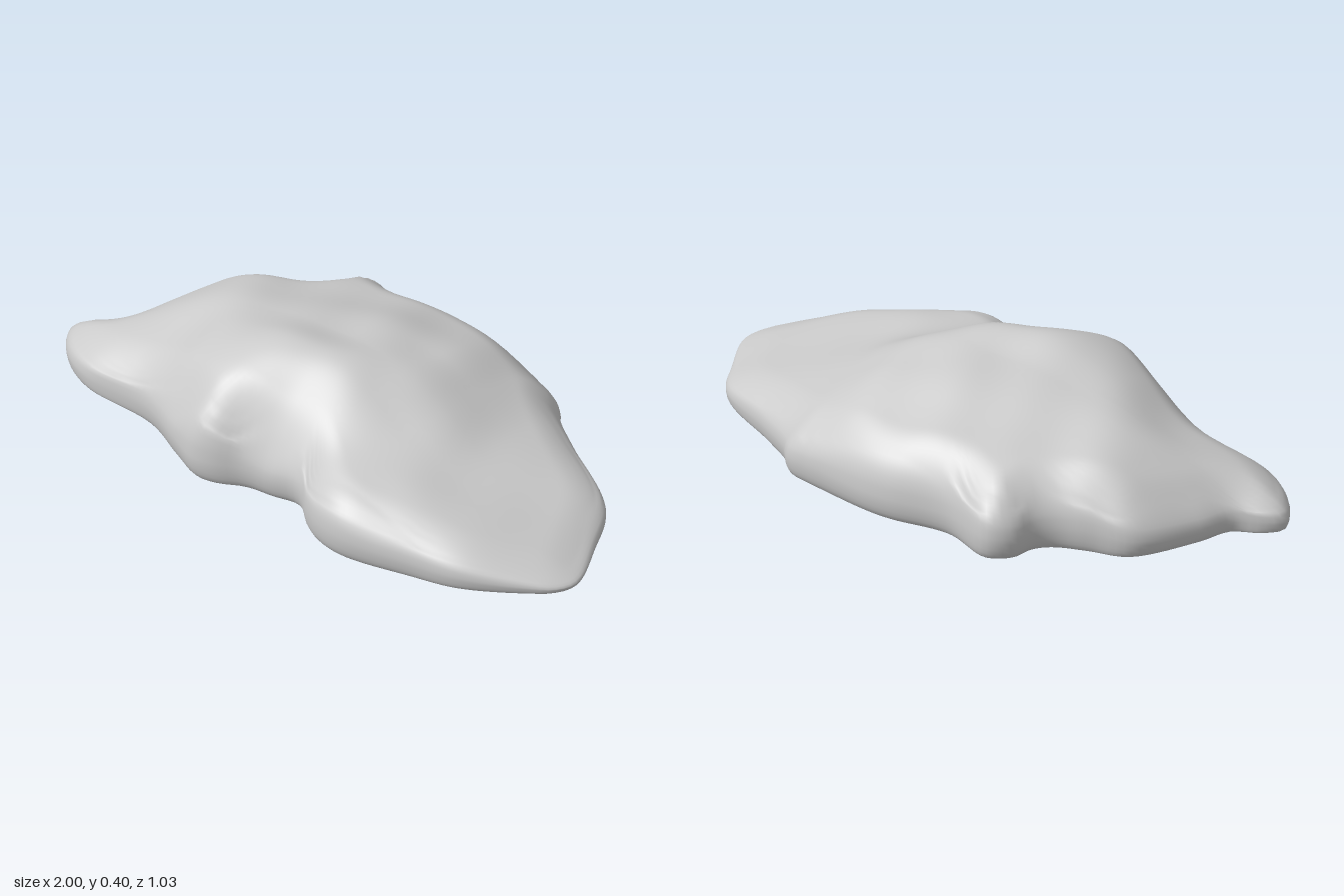
import * as THREE from 'three';

// Plan outline [x, z], running from the +x tip along the front and round the back
const OUTLINE = [
  [1, .15], [.98, .22], [.92, .28], [.75, .4], [.6, .45], [.37, .51], [.26, .495], [.19, .46], [.1, .395], [0, .41],
  [-.1, .43], [-.18, .47], [-.25, .48], [-.35, .44], [-.55, .35], [-.8, .33], [-.91, .28], [-.98, .21], [-1, .16],
  [-.96, .11], [-.88, .06], [-.84, -.05], [-.73, -.25], [-.61, -.3], [-.51, -.345], [-.465, -.395], [-.445, -.47],
  [-.38, -.52], [-.2, -.47], [0, -.5], [.1, -.5], [.35, -.46], [.42, -.44], [.47, -.39], [.6, -.31], [.83, -.18],
  [.92, -.03]
];

// Heights on a coarse grid: one row per x station, one column per z station
const XS = [-1, -.8, -.6, -.4, -.2, 0, .2, .35, .5, .75, 1];
const ZS = [-.45, -.3, -.15, 0, .15, .3, .42];
const HEIGHTS = [
  [.05, .05, .05, .07, .09, .08, .06],
  [.1, .11, .13, .145, .155, .135, .11],
  [.15, .195, .25, .26, .22, .17, .12],
  [.2, .25, .29, .315, .32, .27, .19],
  [.24, .285, .325, .36, .39, .35, .28],
  [.25, .3, .345, .37, .385, .29, .16],
  [.225, .28, .33, .355, .31, .24, .19],
  [.185, .225, .255, .265, .24, .22, .2],
  [.135, .16, .18, .185, .185, .185, .165],
  [.09, .1, .105, .11, .115, .115, .11],
  [.03, .03, .03, .03, .03, .03, .03]
];

// Smooth curve through values given at uneven stations
function interpolate(stations, values, t) {
  const last = stations.length - 1;
  const s = THREE.MathUtils.clamp(t, stations[0], stations[last]);
  let i = 0;
  while (i < last - 1 && s > stations[i + 1]) i++;
  const slope = k => {
    const a = Math.max(k - 1, 0), b = Math.min(k + 1, last);
    return (values[b] - values[a]) / (stations[b] - stations[a]);
  };
  const w = stations[i + 1] - stations[i], u = (s - stations[i]) / w;
  const u2 = u * u, u3 = u2 * u;
  return (2 * u3 - 3 * u2 + 1) * values[i] + (u3 - 2 * u2 + u) * w * slope(i)
    + (3 * u2 - 2 * u3) * values[i + 1] + (u3 - u2) * w * slope(i + 1);
}

// Broad form plus shallow weathering
function envelope(x, z) {
  const h = interpolate(XS, HEIGHTS.map(row => interpolate(ZS, row, z)), x);
  const ripple = Math.sin(11 * x + 5 * z) * Math.sin(13 * z - 4 * x) + .5 * Math.sin(23 * x - 9 * z);
  return h * (1 + .02 * ripple);
}

function createModel() {
  const group = new THREE.Group();
  group.name = 'rock';
  const material = new THREE.MeshStandardMaterial({ color: 0xcccccc });
  const SEG = 200, RINGS = 36, TUCK = 6;

  const curve = new THREE.CatmullRomCurve3(OUTLINE.map(([x, z]) => new THREE.Vector3(x, 0, z)), true);
  const rim = curve.getSpacedPoints(SEG).slice(0, SEG);
  const edgeDistance = (x, z) => Math.sqrt(rim.reduce((m, p) => Math.min(m, (p.x - x) ** 2 + (p.z - z) ** 2), 9));
  const bulge = rim.map(p => Math.min(.08, .4 * envelope(p.x, p.z)));

  // Upper surface: rings shrink from the bulging rim to the middle, rounded over near the edge
  const positions = [0, envelope(0, 0), 0], index = [];
  for (let r = 1; r <= RINGS; r++) {
    const t = 1 - (1 - r / RINGS) ** 1.5;
    rim.forEach((p, i) => {
      const x = p.x * t, z = p.z * t;
      const d = r === RINGS ? 0 : Math.min(edgeDistance(x, z) / .13, 1);
      const round = Math.sqrt(1 - (1 - d) ** 2);
      positions.push(x, bulge[i] + (envelope(x, z) - bulge[i]) * round, z);
    });
  }
  // Lower flank: tucks in from the rim to the ground
  for (let r = 1; r <= TUCK; r++) {
    const a = r / TUCK * Math.PI / 2;
    rim.forEach((p, i) => {
      const k = 1 - .35 * bulge[i] * (1 - Math.cos(a)) / p.length();
      positions.push(p.x * k, bulge[i] * (1 - Math.sin(a)), p.z * k);
    });
  }
  // Faces: a fan at the middle, then quads from ring to ring
  for (let i = 0; i < SEG; i++) {
    const j = (i + 1) % SEG;
    index.push(0, 1 + j, 1 + i);
    for (let r = 0; r < RINGS + TUCK - 1; r++) {
      const a = 1 + r * SEG, b = a + SEG;
      index.push(a + i, a + j, b + i, a + j, b + j, b + i);
    }
  }
  const addMesh = (name, points, faces) => {
    const geometry = new THREE.BufferGeometry();
    geometry.setAttribute('position', new THREE.Float32BufferAttribute(points, 3));
    geometry.setIndex(faces);
    geometry.computeVertexNormals();
    const mesh = new THREE.Mesh(geometry, material);
    mesh.name = name;
    group.add(mesh);
  };
  addMesh('rockSurface', positions, index);

  // Flat underside, fanned from the middle
  const baseIndex = [];
  for (let i = 0; i < SEG; i++) baseIndex.push(0, 1 + i, 1 + (i + 1) % SEG);
  addMesh('flatBase', [0, 0, 0, ...positions.slice(-SEG * 3)], baseIndex);

  return group;
}

export { createModel };
